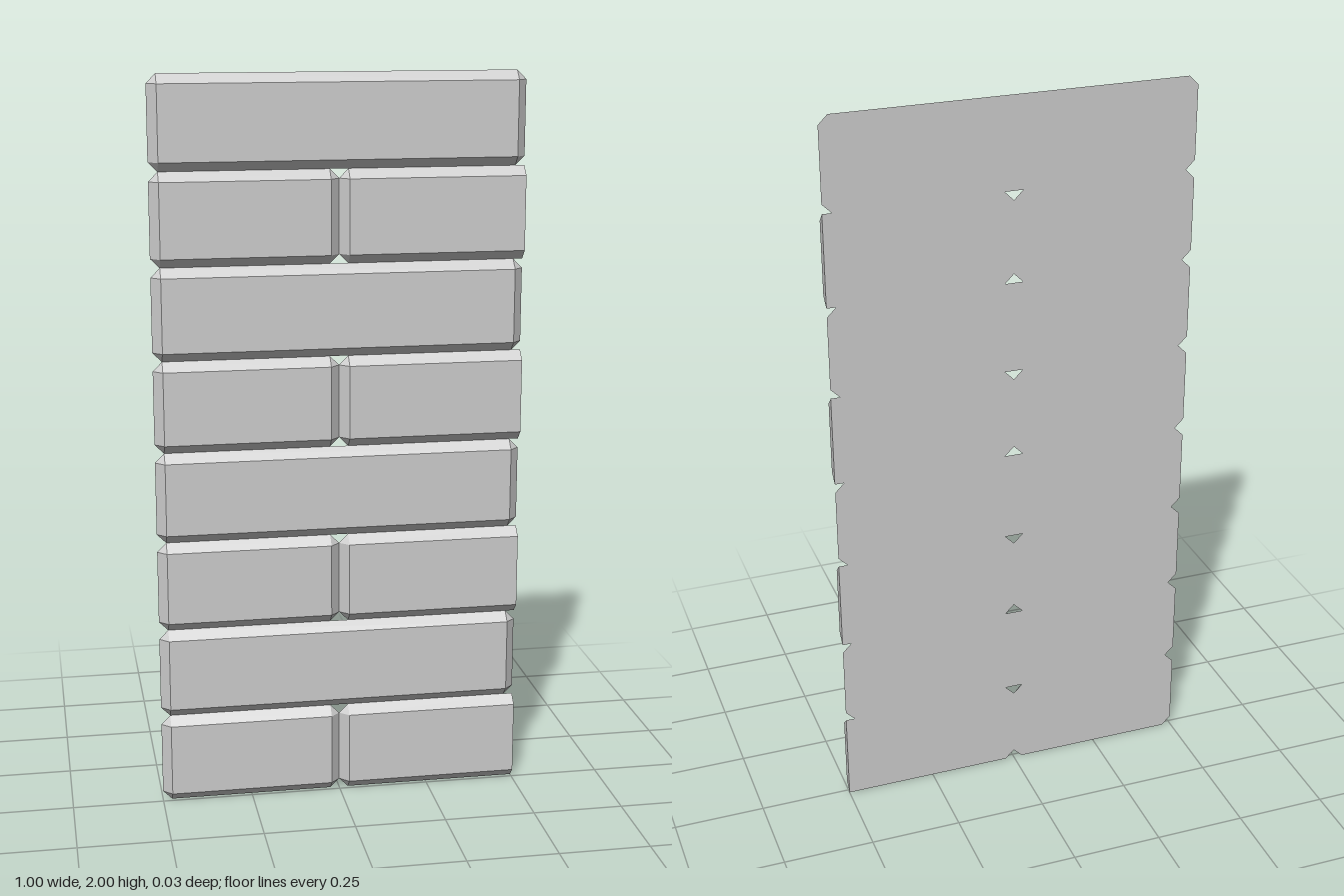
import * as THREE from 'three';
import { ConvexGeometry } from 'three/addons/geometries/ConvexGeometry.js';

const ROWS = 8, ROW_HEIGHT = 0.25, BEVEL = 0.025;
const BACK = -0.0125, FRONT = 0.0125;

const material = new THREE.MeshStandardMaterial({ color: 0xcccccc, flatShading: true });

// Bevelled brick: a front rectangle over a back outline with cut corners.
// With flatEnd the x1 end is cut off straight instead of bevelled.
function makeBrick(x0, x1, y0, flatEnd = false) {
  const y1 = y0 + ROW_HEIGHT;
  const points = [];
  for (const [x, dx] of [[x0, BEVEL], [x1, flatEnd ? 0 : -BEVEL]]) {
    for (const [y, dy] of [[y0, BEVEL], [y1, -BEVEL]]) {
      points.push(new THREE.Vector3(x + dx, y + dy, FRONT));
      points.push(new THREE.Vector3(x + dx, y, BACK));
      if (dx !== 0) points.push(new THREE.Vector3(x, y + dy, BACK));
    }
  }
  return new THREE.Mesh(new ConvexGeometry(points), material);
}

export function createModel() {
  const wall = new THREE.Group();
  wall.name = 'brickStrip';

  const add = (mesh, name) => {
    mesh.name = name;
    wall.add(mesh);
  };

  // Courses alternate between two half bricks and one whole brick
  for (let row = 0; row < ROWS; row++) {
    const y = row * ROW_HEIGHT;
    if (row % 2 === 0) {
      add(makeBrick(-0.5, 0, y), `rightHalfBrick${row + 1}`);
      add(makeBrick(0, 0.5, y, true), `leftCutBrick${row + 1}`);
    } else {
      add(makeBrick(-0.5, 0.5, y), `wholeBrick${row + 1}`);
    }
  }
  return wall;
}
